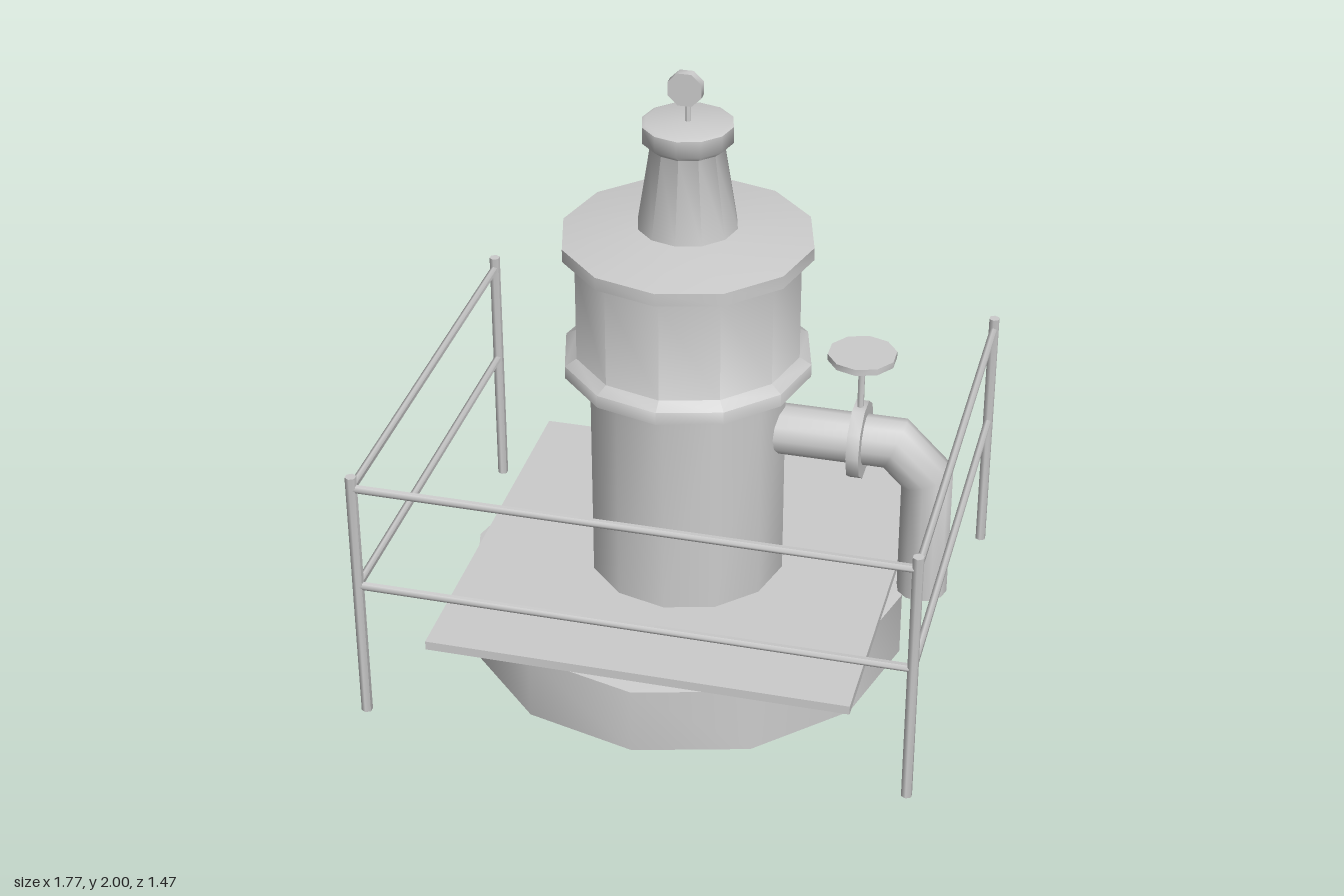
import * as THREE from 'three';
import { toCreasedNormals } from 'three/addons/utils/BufferGeometryUtils.js';

const grey = new THREE.MeshStandardMaterial({ color: 0xcccccc, side: THREE.DoubleSide });
grey.name = 'plain grey';

const CREASE = 1.1;

function addPart(parent, name, geometry, x = 0, y = 0, z = 0) {
  const mesh = new THREE.Mesh(toCreasedNormals(geometry, CREASE), grey);
  mesh.name = name;
  mesh.position.set(x, y, z);
  parent.add(mesh);
  return mesh;
}

// Turned solid from [radius, height] pairs, listed bottom to top
function turned(profile, sides = 12) {
  return new THREE.LatheGeometry(profile.map(([r, y]) => new THREE.Vector2(r, y)), sides);
}

// Round bar between two points
function addBar(parent, name, from, to, radius, sides = 6) {
  const a = new THREE.Vector3(...from);
  const b = new THREE.Vector3(...to);
  const dir = b.clone().sub(a);
  const bar = addPart(parent, name, new THREE.CylinderGeometry(radius, radius, dir.length(), sides));
  bar.position.copy(a).add(b).multiplyScalar(0.5);
  bar.quaternion.setFromUnitVectors(new THREE.Vector3(0, 1, 0), dir.normalize());
  return bar;
}

// Open pipe with mitred joints; each station is [x, y, mitre x, mitre y]
function mitredPipe(stations, radius, sides) {
  const positions = [];
  const index = [];
  stations.forEach(([x, y, ux, uy], i) => {
    for (let j = 0; j < sides; j++) {
      const a = (j / sides) * Math.PI * 2;
      const c = Math.cos(a) * radius;
      positions.push(x + c * ux, y + c * uy, Math.sin(a) * radius);
      if (i === stations.length - 1) continue;
      const k = (j + 1) % sides;
      const p = i * sides + j, q = i * sides + k;
      index.push(p, q, p + sides, q, q + sides, p + sides);
    }
  });
  const geometry = new THREE.BufferGeometry();
  geometry.setAttribute('position', new THREE.Float32BufferAttribute(positions, 3));
  geometry.setIndex(index);
  return geometry;
}

export function createModel() {
  const model = new THREE.Group();
  model.name = 'tower';

  // Foundation and square deck
  addPart(model, 'foundation', turned([[0, 0], [0.713, 0], [0.713, 0.223], [0.61, 0.24], [0, 0.24]]));
  addPart(model, 'deck', new THREE.BoxGeometry(1.35, 0.03, 1.35), 0, 0.253, 0);

  // Column, flanged drum and chimney
  addPart(model, 'column', new THREE.CylinderGeometry(0.316, 0.316, 0.74, 12), 0, 0.635, 0);
  addPart(model, 'drum', turned([
    [0, 0.998], [0.396, 0.998], [0.396, 1.04], [0.358, 1.062],
    [0.358, 1.39], [0.396, 1.408], [0.396, 1.45], [0.16, 1.485], [0, 1.485],
  ]));
  addPart(model, 'chimney', turned([
    [0, 1.48], [0.158, 1.48], [0.115, 1.75], [0.142, 1.772], [0.142, 1.825], [0.13, 1.83], [0, 1.83],
  ]));

  // Small upright disc on a pin
  addBar(model, 'finialPin', [0, 1.82, 0], [0, 1.915, 0], 0.009);
  const disc = new THREE.CylinderGeometry(0.056, 0.056, 0.03, 8);
  disc.rotateY(Math.PI / 8).rotateX(Math.PI / 2);
  addPart(model, 'finialDisc', disc, 0, 1.947, 0.025);

  // Outlet pipe, bending down on the left side
  const outlet = new THREE.Group();
  outlet.name = 'outlet';
  model.add(outlet);
  const m = Math.tan(Math.PI / 8);
  addPart(outlet, 'outletPipe', mitredPipe([
    [0.28, 0.795, 0, 1], [0.67, 0.795, m, 1], [0.775, 0.69, 1, m], [0.775, 0.265, 1, 0],
  ], 0.081, 12));

  // Flange with stem and handwheel
  const flange = new THREE.CylinderGeometry(0.126, 0.126, 0.04, 10);
  flange.rotateZ(Math.PI / 2);
  addPart(outlet, 'flange', flange, 0.555, 0.793, 0);
  addBar(outlet, 'valveStem', [0.555, 0.86, 0], [0.555, 1.09, 0], 0.011);
  addPart(outlet, 'handwheel', new THREE.CylinderGeometry(0.108, 0.108, 0.021, 10), 0.555, 1.095, 0);

  // Railing around three sides, open at the back
  const railing = new THREE.Group();
  railing.name = 'railing';
  model.add(railing);
  const X = 0.867, Z = 0.717;
  for (const x of [-X, X]) {
    for (const z of [-Z, Z]) addBar(railing, 'post', [x, 0, z], [x, 0.876, z], 0.018);
  }
  for (const y of [0.478, 0.834]) {
    addBar(railing, 'frontRail', [-X, y, Z], [X, y, Z], 0.013);
    for (const x of [-X, X]) addBar(railing, 'sideRail', [x, y, -Z], [x, y, Z], 0.013);
  }

  return model;
}
